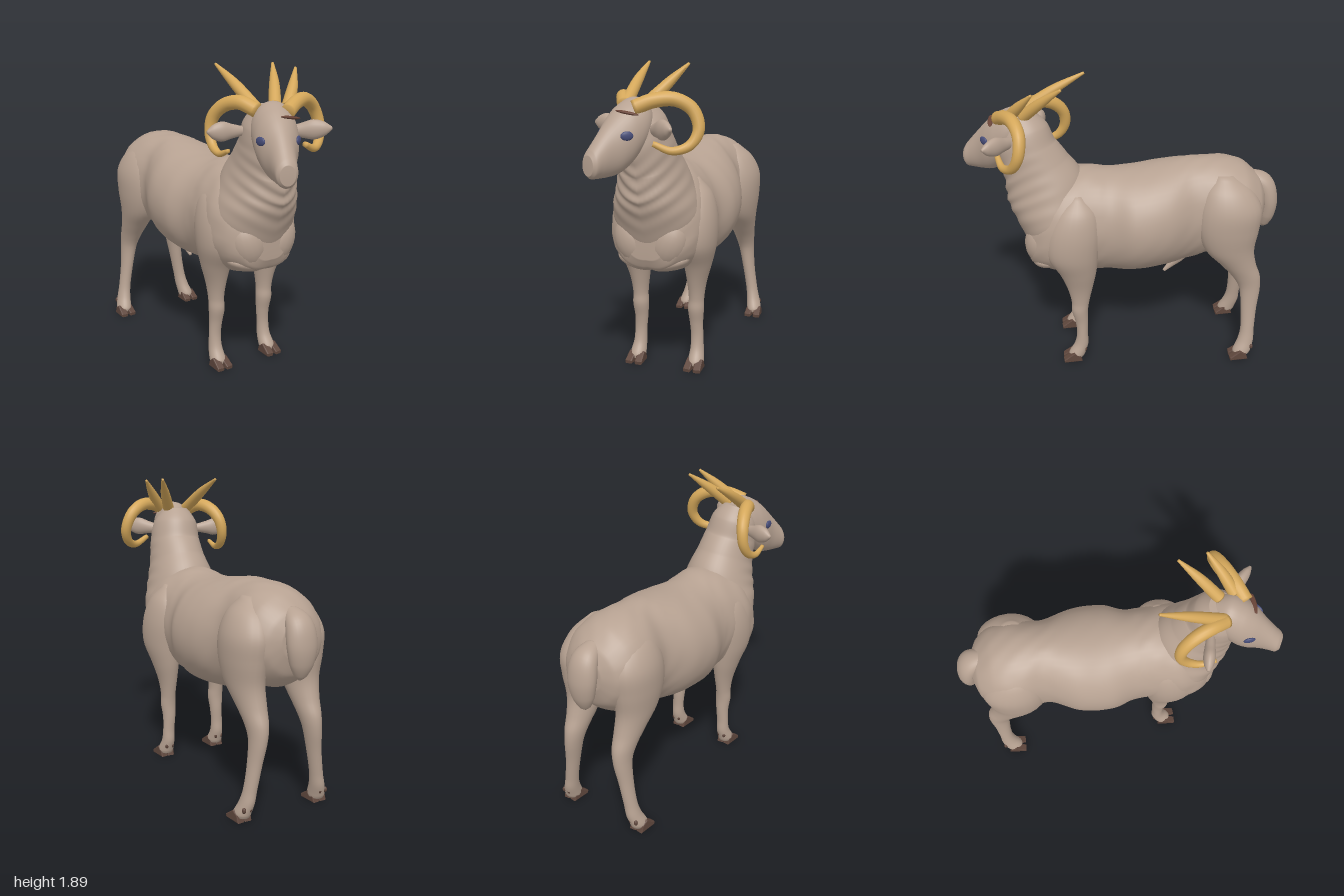
import * as THREE from 'three';

const V = (x, y, z) => new THREE.Vector3(x, y, z);
const mat = (name, color) => {
  const m = new THREE.MeshStandardMaterial({ color });
  m.name = name;
  return m;
};

// Smooth skin through elliptical sections [x, y, z, radiusA, radiusB].
// A fixed axis keeps sections parallel; otherwise they follow the path.
function loft(sections, { axis = null, ref = V(1, 0, 0), rings = 40, sides = 28, bump = null } = {}) {
  const path = new THREE.CatmullRomCurve3(sections.map(s => V(s[0], s[1], s[2])));
  const radii = new THREE.CatmullRomCurve3(sections.map(s => V(s[3], s[4], 0)), false, 'catmullrom', 0.5);
  const pos = [], idx = [];
  for (let i = -1; i <= rings + 1; i++) {
    const t = Math.min(1, Math.max(0, i / rings));
    const closed = i < 0 || i > rings ? 0 : 1; // collapsed rings close the ends
    const c = path.getPoint(t), r = radii.getPoint(t);
    const dir = axis ? axis.clone() : path.getTangent(t);
    const side = ref.clone().addScaledVector(dir, -ref.dot(dir)).normalize();
    const up = dir.clone().cross(side);
    for (let j = 0; j < sides; j++) {
      const a = (j / sides) * Math.PI * 2;
      const k = closed * (bump ? bump(t, a, c) : 1);
      const p = c.clone()
        .addScaledVector(side, Math.max(0, r.x) * Math.cos(a) * k)
        .addScaledVector(up, Math.max(0, r.y) * Math.sin(a) * k);
      pos.push(p.x, p.y, p.z);
    }
  }
  for (let i = 0; i < rings + 2; i++) {
    for (let j = 0; j < sides; j++) {
      const a = i * sides + j, b = i * sides + ((j + 1) % sides);
      idx.push(a, b, a + sides, b, b + sides, a + sides);
    }
  }
  const g = new THREE.BufferGeometry();
  g.setAttribute('position', new THREE.Float32BufferAttribute(pos, 3));
  g.setIndex(idx);
  g.computeVertexNormals();
  return g;
}

// Round horn that tapers from r0 to r1 along its points
function horn(points, r0, r1, ref) {
  const n = points.length - 1;
  return loft(points.map((p, i) => {
    const r = r0 + (r1 - r0) * (i / n) ** 2;
    return [...p, r, r];
  }), { ref, rings: 48, sides: 16 });
}

export function createModel() {
  const root = new THREE.Group();
  root.name = 'ram';
  const fleece = mat('fleece', 0xb7a292);
  const hornMat = mat('horn', 0xd4a75a);
  const hoofMat = mat('hoof', 0x5f473d);
  const eyeMat = mat('eye', 0x474d78);
  const browMat = mat('brow', 0x6a4538);

  const add = (name, geo, material, parent = root) => {
    const m = new THREE.Mesh(geo, material);
    m.name = name;
    parent.add(m);
    return m;
  };
  const blob = (name, material, p, s, parent = root) => {
    const m = add(name, new THREE.SphereGeometry(1, 20, 14), material, parent);
    m.position.set(...p);
    m.scale.set(...s);
    return m;
  };

  // Trunk: slightly lumpy fleece on rump and shoulders, fuller brisket corners
  add('body', loft([
    [0, 1.06, -0.9, 0.1, 0.1],
    [0, 1.04, -0.86, 0.19, 0.19],
    [0, 1.04, -0.76, 0.26, 0.275],
    [0, 1.04, -0.62, 0.28, 0.31],
    [0, 1.01, -0.45, 0.25, 0.345],
    [0, 0.98, -0.25, 0.325, 0.35],
    [0.005, 0.955, -0.05, 0.337, 0.345],
    [0, 0.955, 0.1, 0.285, 0.345],
    [0, 0.965, 0.25, 0.285, 0.35],
    [0, 0.965, 0.4, 0.295, 0.33],
    [0, 0.935, 0.52, 0.26, 0.265],
    [0, 0.88, 0.6, 0.19, 0.18],
    [0, 0.86, 0.63, 0.11, 0.1],
  ], {
    axis: V(0, 0, 1), rings: 90, sides: 48,
    bump: (t, a, c) => {
      const lumps = Math.sin(c.z * 31 + 3 * Math.cos(a * 3)) * Math.sin(a * 7 + c.z * 9);
      const brisket = Math.sin(a) < 0 ? THREE.MathUtils.smoothstep(c.z, 0.25, 0.5) * Math.abs(Math.sin(2 * a)) : 0;
      return 1 + 0.01 * lumps * (c.z < -0.35 || c.z > 0.15 ? 1 : 0.3) + 0.1 * brisket;
    },
  }), fleece);

  // Pectoral bulges and the skin roll below them
  for (const s of [1, -1]) {
    blob('pectoral', fleece, [s * 0.11, 0.85, 0.53], [0.12, 0.16, 0.11]).rotation.z = -s * 0.35;
    blob('brisketRoll', fleece, [s * 0.1, 0.72, 0.5], [0.13, 0.05, 0.095]).rotation.z = s * 0.25;
  }

  // Neck with V-shaped skin folds down the throat
  add('neck', loft([
    [0, 0.88, 0.395, 0.26, 0.225],
    [0, 1.05, 0.45, 0.265, 0.24],
    [0, 1.2, 0.495, 0.22, 0.25],
    [-0.005, 1.33, 0.545, 0.182, 0.212],
    [-0.015, 1.45, 0.59, 0.165, 0.18],
    [-0.03, 1.57, 0.61, 0.145, 0.15],
    [-0.04, 1.66, 0.63, 0.09, 0.09],
  ], {
    rings: 110, sides: 48,
    bump: (t, a) => {
      const front = Math.max(0, 0.3 - 0.7 * Math.sin(a));
      const fade = Math.sin(Math.PI * Math.min(1, t * 1.15)) ** 2;
      return 1 + 0.025 * front * fade * Math.sin(t * 62 - 7 * Math.abs(Math.cos(a)));
    },
  }), fleece);

  // Tail and belly sheath
  add('tail', loft([
    [0, 1.22, -0.81, 0.05, 0.04],
    [0, 1.16, -0.9, 0.085, 0.065],
    [0, 1.05, -0.935, 0.095, 0.066],
    [0, 0.94, -0.935, 0.075, 0.055],
    [0, 0.87, -0.925, 0.04, 0.032],
    [0, 0.845, -0.92, 0.01, 0.01],
  ]), fleece);
  add('sheath', loft([
    [0, 0.76, -0.45, 0.05, 0.06],
    [0, 0.64, -0.37, 0.04, 0.042],
    [0.005, 0.585, -0.32, 0.022, 0.024],
    [0.01, 0.535, -0.27, 0.01, 0.01],
  ], { rings: 16, sides: 14 }), fleece);

  // Legs: sections run from shoulder or haunch down to the pastern
  const frontLeg = [
    [0.17, 1.21, 0.3, 0.03, 0.03], [0.195, 1.11, 0.31, 0.088, 0.125], [0.212, 0.97, 0.33, 0.11, 0.165],
    [0.215, 0.81, 0.34, 0.105, 0.16], [0.2, 0.67, 0.31, 0.082, 0.115],
    [0.19, 0.55, 0.3, 0.058, 0.08], [0.187, 0.45, 0.3, 0.047, 0.058],
    [0.185, 0.38, 0.305, 0.05, 0.053], [0.185, 0.29, 0.295, 0.042, 0.042],
    [0.19, 0.2, 0.293, 0.039, 0.036], [0.192, 0.12, 0.3, 0.042, 0.045],
    [0.195, 0.05, 0.33, 0.05, 0.055], [0.195, 0.025, 0.335, 0.044, 0.048],
  ];
  const hindLeg = [
    [0.13, 1.29, -0.62, 0.04, 0.05], [0.155, 1.2, -0.64, 0.105, 0.15],
    [0.18, 1.08, -0.655, 0.13, 0.2], [0.19, 0.94, -0.65, 0.122, 0.195],
    [0.19, 0.8, -0.665, 0.102, 0.16], [0.185, 0.68, -0.73, 0.082, 0.115],
    [0.185, 0.58, -0.79, 0.064, 0.09], [0.19, 0.5, -0.815, 0.052, 0.07],
    [0.21, 0.35, -0.815, 0.042, 0.052], [0.235, 0.2, -0.81, 0.04, 0.045],
    [0.25, 0.12, -0.8, 0.044, 0.053], [0.265, 0.05, -0.775, 0.05, 0.06],
    [0.265, 0.025, -0.77, 0.044, 0.052],
  ];
  // Side profile of one hoof toe, x running forward
  const toeShape = new THREE.Shape([
    [-0.045, 0], [0.075, 0], [0.077, 0.02], [0.01, 0.068], [-0.03, 0.045],
  ].map(p => new THREE.Vector2(...p)));
  const toeGeo = new THREE.ExtrudeGeometry(toeShape, {
    depth: 0.034, bevelEnabled: true, bevelSize: 0.006, bevelThickness: 0.007, bevelOffset: -0.006, bevelSegments: 2,
  });
  toeGeo.translate(0, 0, -0.017).rotateY(-Math.PI / 2);

  const stance = 0.015; // the legs stand slightly towards the left
  for (const [name, sections, hx, hz] of [['front', frontLeg, 0.195, 0.345], ['hind', hindLeg, 0.27, -0.765]]) {
    for (const s of [1, -1]) {
      const label = name + (s > 0 ? 'Left' : 'Right');
      add(label + 'Leg', loft(sections.map(([x, ...r]) => [x * s + stance, ...r]),
        { axis: V(0, -1, 0), rings: 65, sides: 24 }), fleece);
      for (const e of [1, -1]) {
        const toe = add(label + 'Hoof', toeGeo, hoofMat);
        toe.position.set(hx * s + stance + e * 0.027, 0, hz);
        toe.rotation.y = e * 0.08;
        blob(label + 'Dewclaw', hoofMat, [hx * s + stance + e * 0.02, 0.085, hz - 0.068], [0.012, 0.018, 0.012]);
      }
    }
  }

  // Head, turned towards the right side
  const head = new THREE.Group();
  head.name = 'head';
  head.position.set(-0.095, 1.5, 0.79);
  head.rotation.y = -0.42;
  root.add(head);
  add('skull', loft([
    [0, 0.1, -0.23, 0.07, 0.07],
    [0, 0.065, -0.14, 0.125, 0.145],
    [0, 0.005, -0.05, 0.13, 0.175],
    [0, -0.04, 0.02, 0.113, 0.17],
    [0, -0.08, 0.09, 0.083, 0.14],
    [0, -0.113, 0.15, 0.069, 0.107],
    [0, -0.137, 0.195, 0.062, 0.08],
    [0, -0.143, 0.215, 0.044, 0.056],
  ], { axis: V(0, 0, 1), rings: 50, sides: 36 }), fleece, head);
  for (const s of [1, -1]) {
    blob('eye', eyeMat, [s * 0.107, 0.012, 0.024], [0.036, 0.026, 0.012], head).rotation.y = s * 1.08;
  }
  // Dark rim in front of the left horn
  blob('hornRim', browMat, [0.07, 0.133, -0.012], [0.07, 0.009, 0.016], head).rotation.set(0, 0.42, -0.15);

  // Ears: leaf shapes, taller than thick in section
  const ear = (name, a, b) => {
    const at = (k, h, d) => [...a.clone().lerp(b, k).toArray(), h, d];
    add(name, loft([at(-0.15, 0.025, 0.024), at(0.25, 0.043, 0.032), at(0.55, 0.058, 0.036),
      at(0.82, 0.04, 0.026), at(1, 0.008, 0.008)], { ref: V(0, 1, 0), rings: 24, sides: 20 }), fleece);
  };
  ear('leftEar', V(0.08, 1.53, 0.69), V(0.245, 1.555, 0.85));
  ear('rightEar', V(-0.18, 1.535, 0.54), V(-0.37, 1.54, 0.495));

  // Two curled horns and three straight ones
  add('leftCurledHorn', horn([
    [-0.01, 1.655, 0.76], [0.09, 1.695, 0.71], [0.2, 1.7, 0.66], [0.29, 1.645, 0.63],
    [0.33, 1.54, 0.64], [0.295, 1.455, 0.68], [0.21, 1.425, 0.74], [0.11, 1.465, 0.775],
  ], 0.043, 0.016, V(0, 0, 1)), hornMat);
  add('rightCurledHorn', horn([
    [-0.12, 1.655, 0.63], [-0.17, 1.695, 0.53], [-0.21, 1.67, 0.43], [-0.24, 1.6, 0.365],
    [-0.255, 1.51, 0.355], [-0.265, 1.435, 0.4], [-0.275, 1.405, 0.48], [-0.275, 1.435, 0.57],
  ], 0.043, 0.012, V(1, 0, 0)), hornMat);
  const spikes = [
    ['rightStraightHorn', [-0.115, 1.66, 0.62], [-0.125, 1.785, 0.42], [-0.13, 1.885, 0.23]],
    ['leftRearStraightHorn', [0.02, 1.67, 0.61], [0.1, 1.78, 0.5], [0.18, 1.885, 0.38]],
    ['leftFrontStraightHorn', [0.04, 1.67, 0.7], [0.13, 1.77, 0.63], [0.215, 1.87, 0.55]],
  ];
  for (const [name, ...pts] of spikes) add(name, horn(pts, 0.038, 0.008, V(1, 0, 0)), hornMat);

  return root;
}
